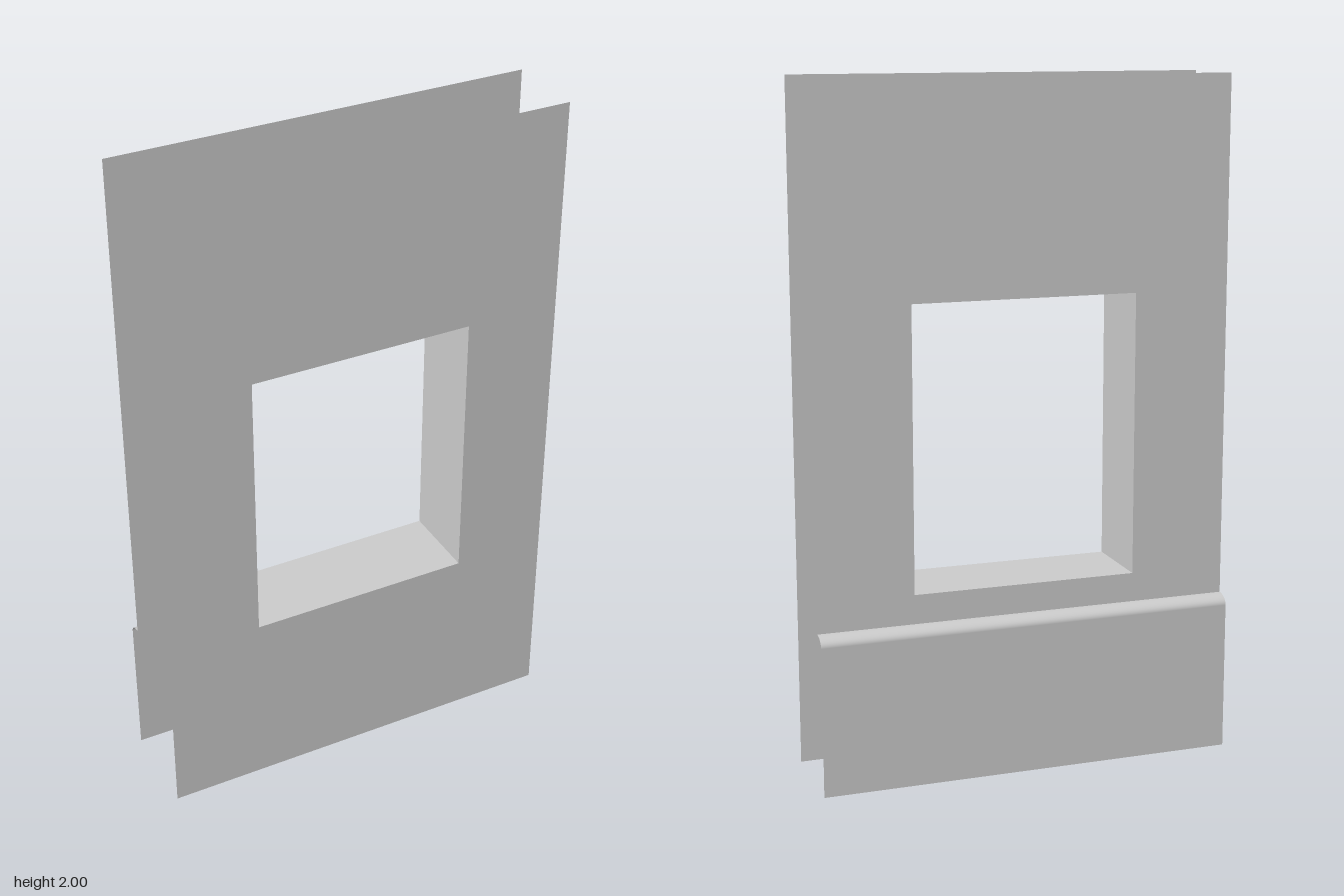
import * as THREE from 'three';

const W = 0.617, H = 2;                       // half width and height of the wall
const FRONT = 0.143, BACK = -0.1, FACE = -0.143; // z of wall faces and skirting face
const HOLE = { x: 0.333, y0: 0.555, y1: 1.385 };
const SKIRT_TOP = 0.469, SKIRT_EDGE = 0.44;

export function createModel() {
  const group = new THREE.Group();
  const material = new THREE.MeshStandardMaterial({ color: 0xcccccc, side: THREE.DoubleSide });

  function add(name, geometry, parent = group) {
    const mesh = new THREE.Mesh(geometry, material);
    mesh.name = name;
    parent.add(mesh);
    return mesh;
  }

  // Thin wall sheet with the window opening cut out
  function wallSheet(bottom) {
    const shape = new THREE.Shape([[-W, bottom], [W, bottom], [W, H], [-W, H]]
      .map(([x, y]) => new THREE.Vector2(x, y)));
    shape.holes.push(new THREE.Path([[-HOLE.x, HOLE.y0], [-HOLE.x, HOLE.y1], [HOLE.x, HOLE.y1], [HOLE.x, HOLE.y0]]
      .map(([x, y]) => new THREE.Vector2(x, y))));
    return new THREE.ShapeGeometry(shape);
  }

  add('frontWall', wallSheet(0)).position.z = FRONT;
  // The back sheet faces -z and stops at the top of the skirting
  const backGeometry = wallSheet(SKIRT_TOP).rotateY(Math.PI);
  add('backWall', backGeometry).position.z = BACK;

  // Window reveal: four panels facing into the opening
  const reveal = new THREE.Group();
  reveal.name = 'windowReveal';
  group.add(reveal);
  const depth = FRONT - BACK, midZ = (FRONT + BACK) / 2;
  const holeHeight = HOLE.y1 - HOLE.y0, midY = (HOLE.y1 + HOLE.y0) / 2;
  for (const side of [-1, 1]) {
    const jamb = add(side > 0 ? 'leftJamb' : 'rightJamb', new THREE.PlaneGeometry(depth, holeHeight), reveal);
    jamb.rotation.y = -side * Math.PI / 2;
    jamb.position.set(side * HOLE.x, midY, midZ);
    const panel = add(side > 0 ? 'head' : 'sill', new THREE.PlaneGeometry(2 * HOLE.x, depth), reveal);
    panel.rotation.x = side * Math.PI / 2;
    panel.position.set(0, midY + side * holeHeight / 2, midZ);
  }

  // Skirting board: rounded top easing into a flat face
  const steps = 10;
  const rows = steps + 1;
  const skirting = new THREE.PlaneGeometry(2 * W, 1, 1, rows).rotateY(Math.PI);
  const pos = skirting.attributes.position, normal = skirting.attributes.normal;
  const rz = BACK - FACE, ry = SKIRT_TOP - SKIRT_EDGE;
  for (let i = 0; i < pos.count; i++) {
    const row = Math.floor(i / 2);
    const a = Math.min(row / steps, 1) * Math.PI / 2;
    pos.setY(i, row > steps ? 0 : SKIRT_EDGE + ry * Math.cos(a));
    pos.setZ(i, BACK - rz * Math.sin(a));
    const n = new THREE.Vector3(0, Math.cos(a) / ry, -Math.sin(a) / rz).normalize();
    normal.setXYZ(i, n.x, n.y, n.z);
  }
  add('skirtingBoard', skirting);

  return group;
}
